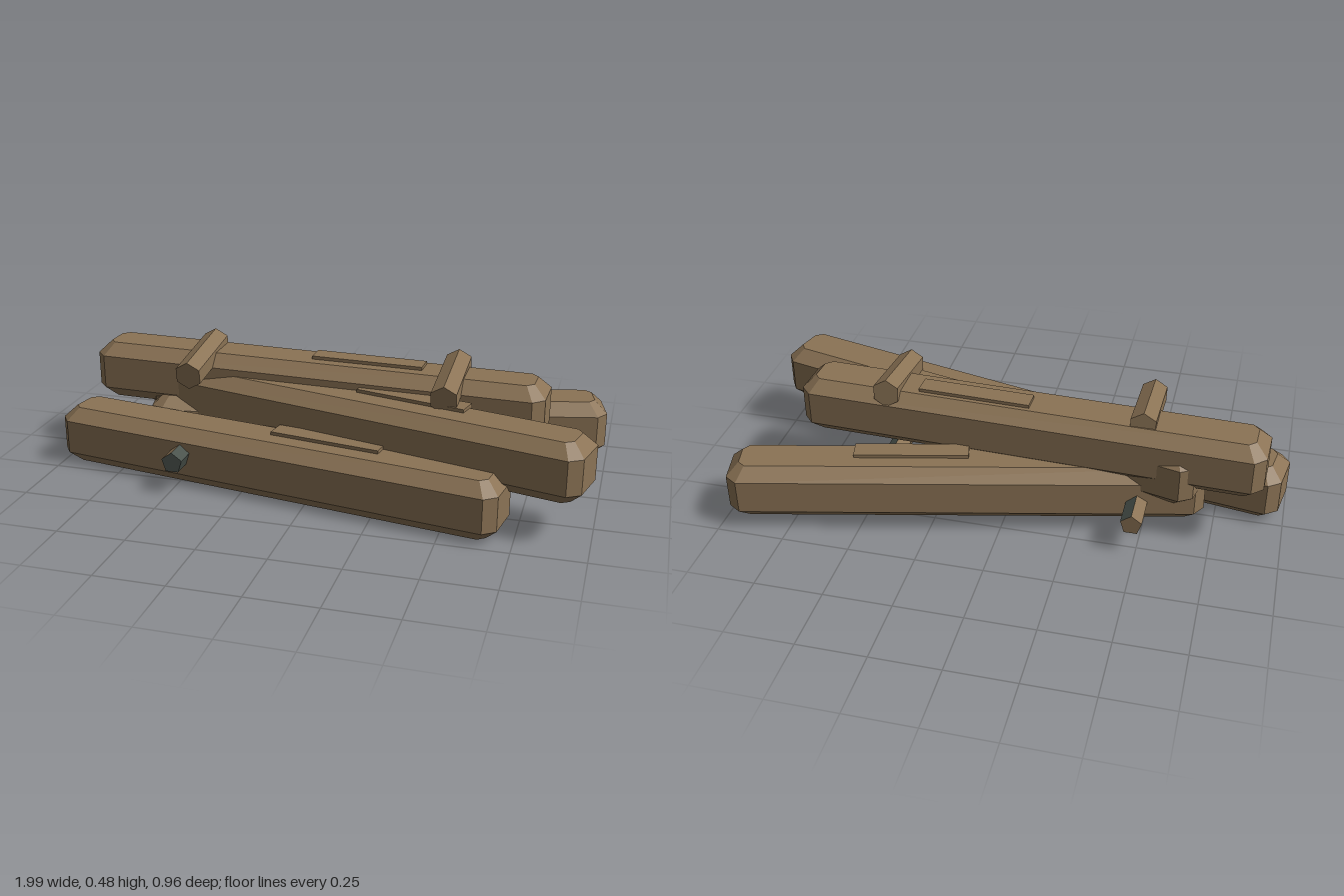
import * as THREE from 'three';
import { ConvexGeometry } from 'three/addons/geometries/ConvexGeometry.js';

const wood = new THREE.MeshStandardMaterial({ color: 0x8b7355 });
wood.name = 'weathered wood';
const slate = new THREE.MeshStandardMaterial({ color: 0x4a524c });
slate.name = 'dark slate';

const LENGTH = 1.72, HEIGHT = 0.216, WIDTH = 0.222, BEVEL = 0.045, CORNER = 0.04;

// Beam: an octagonal plan with its top and bottom rims bevelled inwards
function beamGeometry() {
  const points = [];
  const ring = (y, inset, cut) => {
    const l = LENGTH / 2 - inset, w = WIDTH / 2 - inset;
    for (const sx of [-1, 1]) for (const sz of [-1, 1]) {
      points.push(new THREE.Vector3(sx * l, y, sz * (w - cut)));
      points.push(new THREE.Vector3(sx * (l - cut), y, sz * w));
    }
  };
  ring(0, BEVEL, CORNER * 0.6);
  ring(BEVEL, 0, CORNER);
  ring(HEIGHT - BEVEL, 0, CORNER);
  ring(HEIGHT, BEVEL, CORNER * 0.6);
  return new ConvexGeometry(points);
}

// Faceted bar lying along z with one corner pointing up
function barGeometry(radius, length, sides) {
  const g = new THREE.CylinderGeometry(radius, radius, length, sides, 1, false, Math.PI)
    .rotateX(Math.PI / 2).toNonIndexed();
  g.computeVertexNormals();
  return g;
}

export function createModel() {
  const model = new THREE.Group();
  model.name = 'beamPile';
  const add = (name, geometry, material, x, y, z, rx = 0, ry = 0) => {
    const mesh = new THREE.Mesh(geometry, material);
    mesh.name = name;
    mesh.position.set(x, y, z);
    mesh.rotation.set(rx, ry, 0);
    model.add(mesh);
  };

  // Four crossed beams, each with a thin plank on top
  const beam = beamGeometry();
  const plank = new THREE.BoxGeometry(0.415, 0.02, 0.074);
  const beams = [
    { name: 'front', x: -0.14, y: 0, z: 0.238, angle: -9.4, px: 0.06, pz: 0.237 },
    { name: 'back', x: 0.141, y: 0.036, z: -0.189, angle: 13, px: 0.34, pz: -0.209 },
    { name: 'middle', x: 0.141, y: 0.14, z: 0.115, angle: -14, px: 0.34, pz: 0.115 },
    { name: 'top', x: -0.06, y: 0.21, z: -0.038, angle: -2.5, px: 0.14, pz: -0.042 },
  ];
  for (const b of beams) {
    const turn = THREE.MathUtils.degToRad(b.angle);
    add(b.name + 'Beam', beam, wood, b.x, b.y, b.z, 0, turn);
    add(b.name + 'Plank', plank, wood, b.px, b.y + HEIGHT + 0.002, b.pz, 0, turn);
  }

  // Tilted hexagonal rungs across the top
  const rung = barGeometry(0.052, 0.308, 6);
  add('rightRung', rung, wood, -0.48, 0.409, 0.035, 0.13);
  add('leftRung', rung, wood, 0.46, 0.409, 0.035, 0.13);

  // Five-sided pegs below: wood on one flank and the back end, slate elsewhere
  const peg = (length) => {
    const g = barGeometry(0.04, length, 5);
    g.clearGroups();
    g.addGroup(0, 12, 0);
    g.addGroup(12, 33, 1);
    g.addGroup(45, 15, 0);
    return g;
  };
  add('rightPeg', peg(0.66), [wood, slate], -0.48, 0.123, 0.045);
  add('leftPeg', peg(0.387), [wood, slate], 0.46, 0.123, 0.037);

  return model;
}
